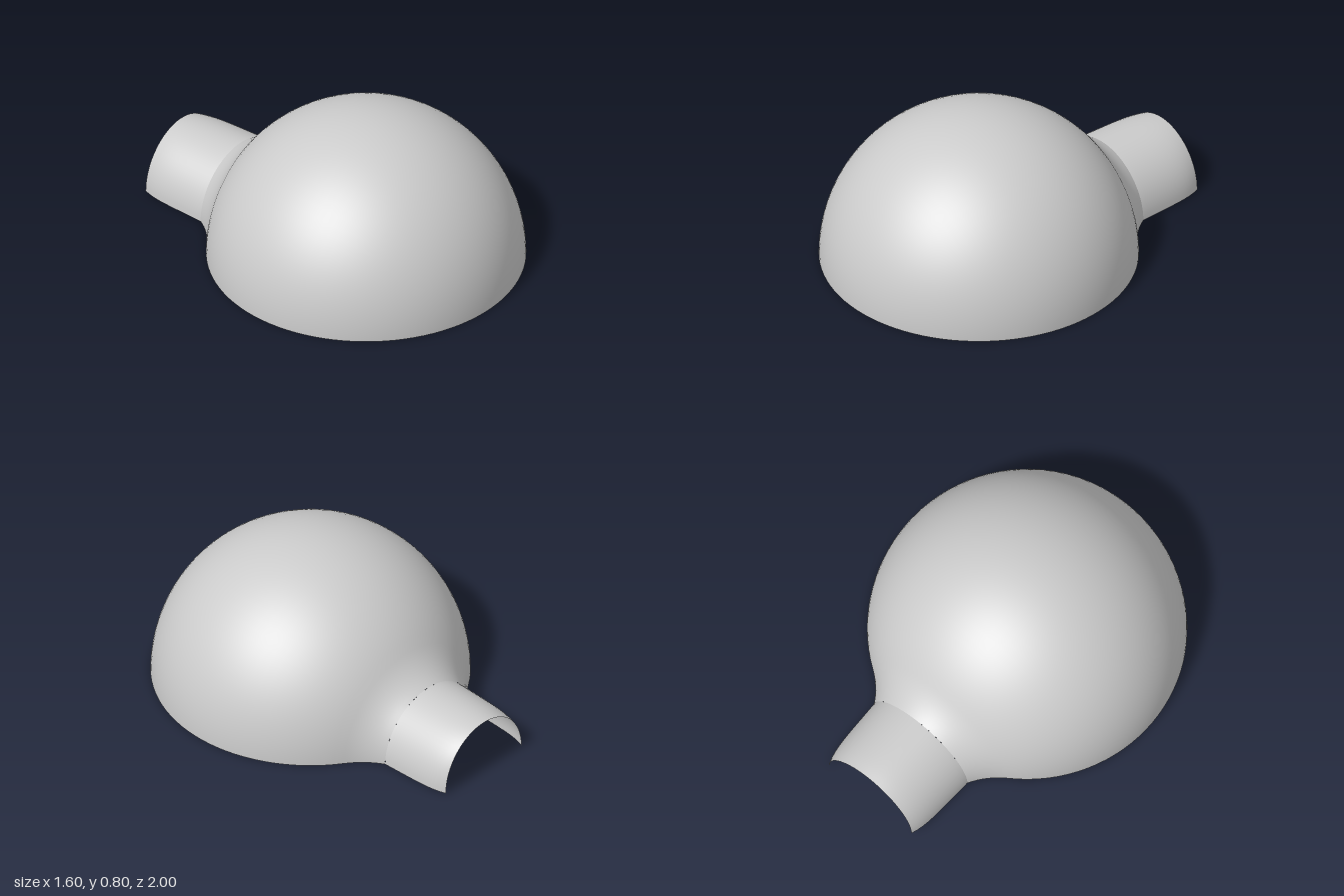
import * as THREE from 'three';

// Half surface of revolution about the z axis; profile points are (radius, z)
function halfLathe(points, segments) {
  const geo = new THREE.LatheGeometry(points, segments, Math.PI / 2, Math.PI);
  geo.rotateX(Math.PI / 2);
  return geo;
}

export function createModel() {
  const group = new THREE.Group();
  group.name = 'domeShelter';
  const material = new THREE.MeshStandardMaterial({ color: 0xcccccc, side: THREE.DoubleSide });

  const add = (geo, name) => {
    const mesh = new THREE.Mesh(geo, material);
    mesh.name = name;
    mesh.position.y = 0.004;
    group.add(mesh);
  };

  const R = 0.8, centreZ = 0.2, neckR = 0.31, neckZ = -0.615;

  // Dome: a flared neck that blends into a hemisphere, open underneath
  const join = 2.55; // angle from the front pole where the flare begins
  const joinPoint = new THREE.Vector2(R * Math.sin(join), centreZ + R * Math.cos(join));
  const flare = new THREE.QuadraticBezierCurve(
    new THREE.Vector2(neckR, neckZ),
    new THREE.Vector2(0.36, -0.525),
    joinPoint
  );
  const profile = flare.getPoints(8);
  for (let i = 1; i <= 40; i++) {
    const a = join * (1 - i / 40);
    profile.push(new THREE.Vector2(R * Math.sin(a), centreZ + R * Math.cos(a)));
  }
  add(halfLathe(profile, 48), 'dome');

  // Entrance tunnel: half tube that pinches in slightly towards its mouth
  const tunnelLength = 1 + neckZ;
  const tube = [];
  for (let i = 0; i <= 12; i++) {
    tube.push(new THREE.Vector2(neckR, -1 + (tunnelLength * i) / 12));
  }
  const tunnel = halfLathe(tube, 32);
  const pos = tunnel.attributes.position;
  for (let i = 0; i < pos.count; i++) {
    const t = (neckZ - pos.getZ(i)) / tunnelLength;
    pos.setX(i, pos.getX(i) * (1 - 0.04 * t - 0.08 * t ** 6));
    pos.setY(i, pos.getY(i) * (1 - 0.02 * t - 0.03 * t ** 6));
  }
  tunnel.computeVertexNormals();
  add(tunnel, 'entranceTunnel');

  return group;
}
